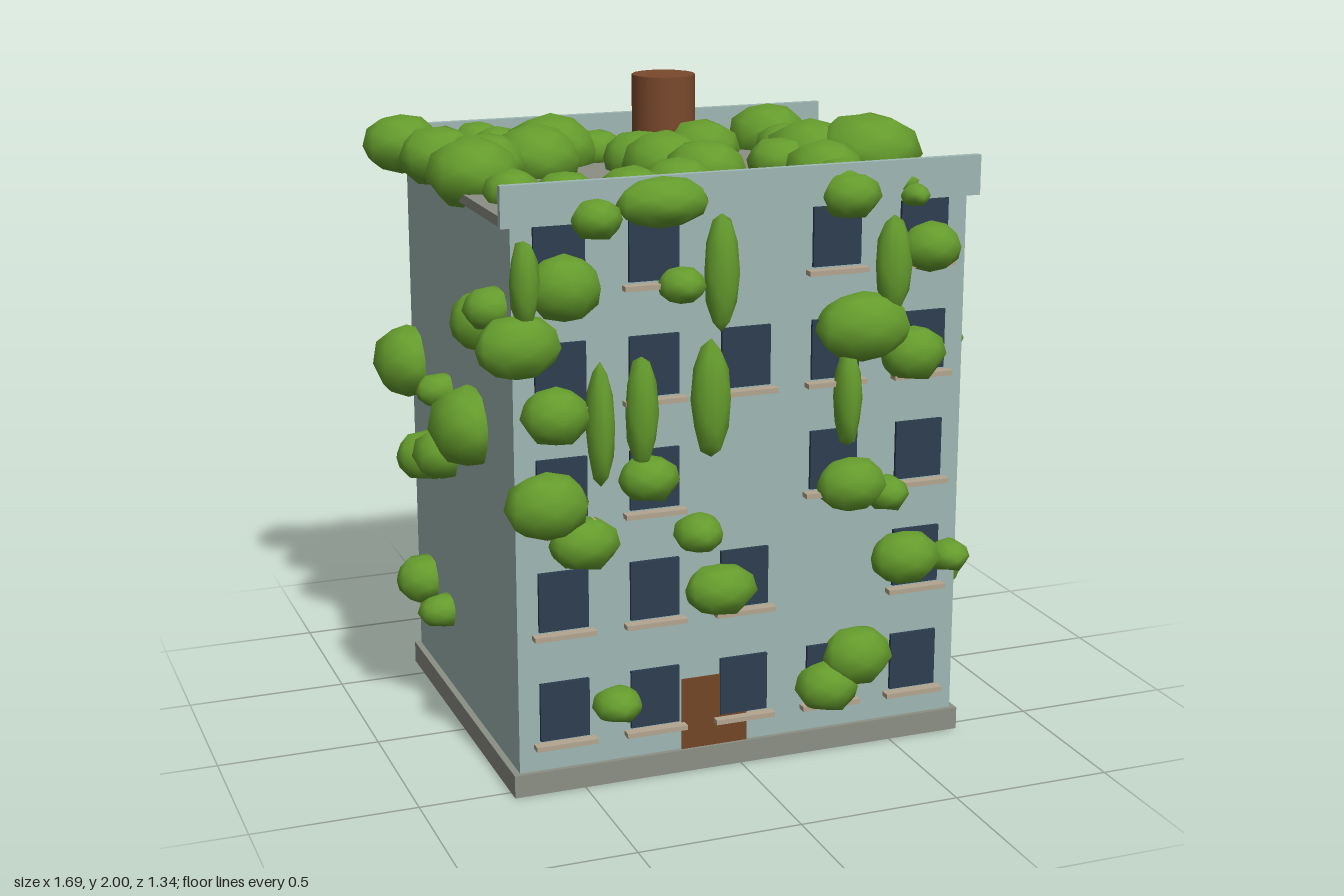
import * as THREE from 'three';
import { mergeVertices } from 'three/addons/utils/BufferGeometryUtils.js';

const paint = (name, color) => {
  const m = new THREE.MeshStandardMaterial({ color });
  m.name = name;
  return m;
};

export function createModel() {
  const wall = paint('pale teal wall', 0x9fb8b4);
  const stone = paint('grey stone', 0x8c8f84);
  const glass = paint('dark blue glass', 0x2d3e50);
  const sillTan = paint('tan sill', 0xb3a58f);
  const wood = paint('brown door', 0x734626);
  const clay = paint('brown chimney', 0x7a4a2c);
  const leaf = paint('leaf green', 0x659c2d);

  const model = new THREE.Group();
  model.name = 'overgrownBuilding';
  const group = (name) => {
    const g = new THREE.Group();
    g.name = name;
    model.add(g);
    return g;
  };
  const add = (parent, name, geometry, material, x, y, z) => {
    const mesh = new THREE.Mesh(geometry, material);
    mesh.name = name;
    mesh.position.set(x, y, z);
    parent.add(mesh);
    return mesh;
  };
  // Box given by its two corners
  const box = (parent, name, material, x0, x1, y0, y1, z0, z1) =>
    add(parent, name, new THREE.BoxGeometry(x1 - x0, y1 - y0, z1 - z0), material,
      (x0 + x1) / 2, (y0 + y1) / 2, (z0 + z1) / 2);

  // Shell: plinth, walls, roof slab and the two parapets
  box(model, 'plinth', stone, -0.72, 0.733, 0, 0.07, -0.61, 0.545);
  box(model, 'walls', wall, -0.70, 0.715, 0.07, 1.71, -0.60, 0.53);
  box(model, 'roofSlab', stone, -0.73, 0.742, 1.71, 1.74, -0.61, 0.535);
  box(model, 'frontParapet', wall, -0.735, 0.745, 1.71, 1.83, 0.535, 0.558);
  box(model, 'backParapet', wall, -0.735, 0.745, 1.71, 1.83, -0.633, -0.61);
  add(model, 'chimney', new THREE.CylinderGeometry(0.1, 0.1, 0.27, 16), clay, 0.05, 1.865, -0.26);
  box(model, 'door', wood, -0.19, 0.02, 0.07, 0.295, 0.53, 0.536);

  // Front windows with sills, some bays left blank
  const windows = group('windows');
  const sills = group('windowSills');
  const rows = [0.255, 0.597, 0.938, 1.278, 1.617];
  const frontColumns = [-0.56, -0.277, 0.008, 0.293, 0.575];
  const blanks = ['1-3', '2-2', '4-2'];
  rows.forEach((y, r) => {
    frontColumns.forEach((x, c) => {
      if (blanks.includes(`${r}-${c}`)) return;
      add(windows, 'frontWindow', new THREE.BoxGeometry(0.152, 0.18, 0.012), glass, x, y, 0.535);
      add(sills, 'windowSill', new THREE.BoxGeometry(0.19, 0.015, 0.035), sillTan, x, y - 0.105, 0.545);
    });
    for (const z of [0.385, 0.108, -0.176, -0.458])
      add(windows, 'sideWindow', new THREE.BoxGeometry(0.012, 0.18, 0.152), glass, 0.72, y, z);
  });

  // Leaf clump: a lumpy low-poly ball stretched to size
  let seed = 1;
  const clump = (parent, name, x, y, z, rx, ry, rz) => {
    const ball = new THREE.IcosahedronGeometry(1, 1);
    ball.deleteAttribute('uv');
    ball.deleteAttribute('normal');
    const g = mergeVertices(ball, 1e-3);
    const p = g.attributes.position;
    seed += 1.7;
    for (let i = 0; i < p.count; i++) {
      const k = 1 + 0.09 * Math.sin(4 * p.getX(i) + seed) * Math.cos(3 * p.getY(i) + 5 * p.getZ(i) + seed);
      p.setXYZ(i, p.getX(i) * k * rx, p.getY(i) * k * ry, p.getZ(i) * k * rz);
    }
    g.computeVertexNormals();
    add(parent, name, g, leaf, x, y, z);
  };

  // Clumps on the front: x, y, half width, half height
  const frontIvy = group('frontIvy');
  [
    [-0.55, 1.53, 0.11, 0.095], [-0.69, 1.37, 0.125, 0.095], [-0.58, 1.16, 0.1, 0.085],
    [-0.2, 1.51, 0.07, 0.055], [-0.455, 1.72, 0.075, 0.06], [-0.26, 1.755, 0.14, 0.075],
    [-0.3, 0.945, 0.09, 0.07], [-0.61, 0.895, 0.125, 0.1], [-0.5, 0.77, 0.105, 0.08],
    [-0.145, 0.76, 0.075, 0.06], [-0.075, 0.575, 0.11, 0.08], [-0.4, 0.255, 0.075, 0.055],
    [0.375, 0.3, 0.11, 0.095], [0.28, 0.215, 0.1, 0.08], [0.53, 0.6, 0.11, 0.085],
    [0.68, 0.59, 0.065, 0.05], [0.345, 0.855, 0.11, 0.085], [0.465, 0.815, 0.065, 0.055],
    [0.375, 1.34, 0.15, 0.105],
  ].forEach(([x, y, w, h]) => clump(frontIvy, 'leafClump', x, y, 0.55, w, h, 0.3 * w + 0.055));
  [
    [0.54, 1.245, 0.1, 0.085], [0.59, 1.565, 0.095, 0.075],
    [0.325, 1.735, 0.09, 0.07], [0.53, 1.725, 0.045, 0.035],
  ].forEach(([x, y, w, h]) => clump(frontIvy, 'leafClump', x, y, 0.55, w, h, 0.3 * w + 0.055));

  // Long hanging vines on the front
  [
    [-0.67, 1.55, 0.042, 0.13], [-0.45, 1.125, 0.042, 0.18], [-0.325, 1.15, 0.048, 0.17],
    [-0.11, 1.17, 0.06, 0.175], [-0.08, 1.54, 0.052, 0.175], [0.325, 1.13, 0.042, 0.15],
    [0.465, 1.52, 0.056, 0.15],
  ].forEach(([x, y, w, h]) => clump(frontIvy, 'hangingVine', x, y, 0.56, w, h, 0.05));

  // Clumps on the windowed side: z, y, half width, half height
  const windowSideIvy = group('leftSideIvy');
  [
    [0.235, 1.31, 0.12, 0.09], [0.355, 1.23, 0.06, 0.04], [-0.02, 1.435, 0.09, 0.06],
    [-0.14, 1.355, 0.06, 0.045], [-0.25, 1.38, 0.085, 0.07], [-0.56, 1.415, 0.08, 0.065],
    [-0.01, 0.82, 0.085, 0.06], [-0.085, 0.765, 0.095, 0.07], [0.085, 0.59, 0.12, 0.1],
    [0.17, 0.55, 0.085, 0.075], [0.33, 0.485, 0.11, 0.095], [0.005, 0.435, 0.12, 0.1],
    [0.235, 0.3, 0.065, 0.05], [-0.34, 0.355, 0.145, 0.105],
  ].forEach(([z, y, w, h]) => clump(windowSideIvy, 'leafClump', 0.735, y, z, 0.4 * w + 0.05, h, w));

  // Clumps on the blank side: z, y, radius
  const blankSideIvy = group('rightSideIvy');
  [
    [-0.55, 1.07, 0.13], [-0.37, 0.8, 0.09], [-0.15, 0.87, 0.09], [-0.16, 1.07, 0.06],
    [0.15, 1.04, 0.135], [-0.43, 0.36, 0.09], [-0.2, 0.33, 0.06], [0.33, 1.4, 0.1],
    [0.43, 1.46, 0.07],
  ].forEach(([z, y, r]) => clump(blankSideIvy, 'leafClump', -0.73, y, z, 0.5 * r + 0.045, 0.9 * r, r));

  // Bushes on the roof: x, z, radius
  const roofBushes = group('roofBushes');
  [
    [-0.725, -0.56, 0.125], [-0.46, -0.6, 0.085], [-0.435, -0.47, 0.085], [-0.675, -0.29, 0.125],
    [-0.325, -0.26, 0.145], [-0.17, -0.28, 0.09], [-0.42, -0.12, 0.14], [-0.595, -0.08, 0.13],
    [-0.665, 0.06, 0.14], [-0.105, -0.06, 0.115], [-0.07, 0.075, 0.13], [-0.01, 0.245, 0.125],
    [0.14, -0.16, 0.12], [0.435, -0.33, 0.13], [0.48, -0.475, 0.06], [0.42, -0.15, 0.095],
    [0.55, 0.175, 0.165], [0.4, 0.09, 0.14], [0.285, 0.12, 0.1], [0.335, 0.345, 0.12],
    [-0.265, 0.245, 0.06], [-0.62, 0.3, 0.085], [-0.5, 0.41, 0.09], [-0.31, 0.45, 0.1],
    [-0.16, 0.42, 0.11], [0.01, 0.42, 0.07], [0.32, 0.49, 0.09], [0.52, 0.51, 0.055],
  ].forEach(([x, z, r]) => clump(roofBushes, 'roofBush', x, 1.74 + 0.3 * r, z, r, 0.75 * r, r));

  // Small moss flecks on the roof and under the plinth
  const moss = group('mossFlecks');
  for (let i = 0; i < 16; i++) {
    const x = 0.65 * Math.sin(i * 2.4 + 1), z = 0.48 * Math.sin(i * 3.7) - 0.03;
    const fleck = new THREE.CylinderGeometry(0.012, 0.012, 0.004, 5);
    add(moss, 'mossFleck', fleck, leaf, x, 1.741, z);
    add(moss, 'mossFleck', fleck, leaf, -x, 0.001, z);
  }
  return model;
}
